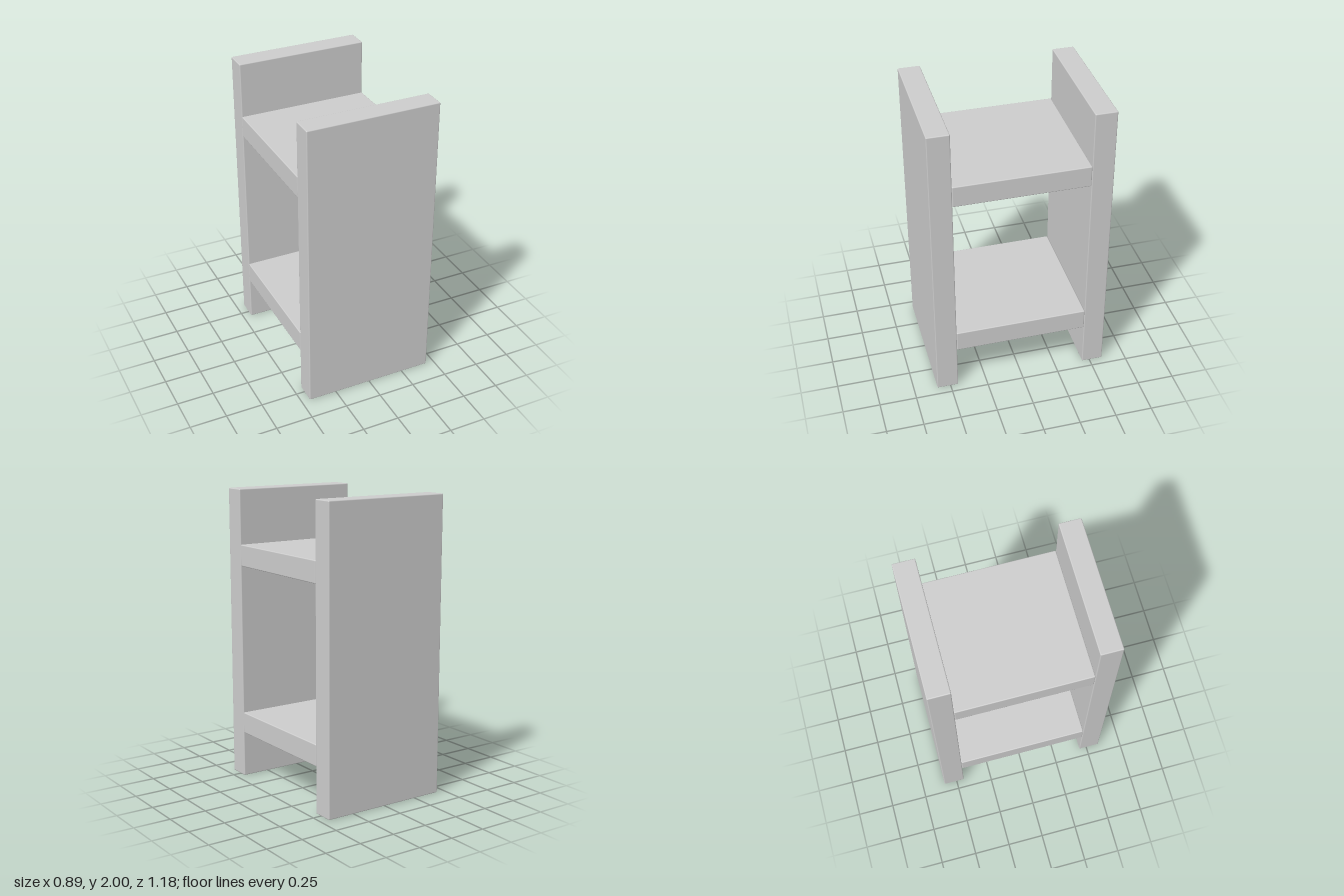
import * as THREE from 'three';
import { RoundedBoxGeometry } from 'three/addons/geometries/RoundedBoxGeometry.js';

const WIDTH = 0.886, HEIGHT = 2, DEPTH = 1.184, BOARD = 0.146, BEVEL = 0.007;

export function createModel() {
  const group = new THREE.Group();
  group.name = 'shelfUnit';
  const material = new THREE.MeshStandardMaterial({ color: 0xcccccc });

  // A board with slightly eased edges, centred on x = 0
  function addBoard(name, height, depth, y, z) {
    const board = new THREE.Mesh(new RoundedBoxGeometry(WIDTH, height, depth, 2, BEVEL), material);
    board.name = name;
    board.position.set(0, y, z);
    group.add(board);
  }

  // Upright panels at front and back
  const panelZ = (DEPTH - BOARD) / 2;
  addBoard('frontPanel', HEIGHT, BOARD, HEIGHT / 2, panelZ);
  addBoard('backPanel', HEIGHT, BOARD, HEIGHT / 2, -panelZ);

  // Shelves spanning between the panels
  const span = DEPTH - 2 * BOARD;
  addBoard('lowerShelf', BOARD, span, 0.387, 0);
  addBoard('upperShelf', BOARD, span, 1.556, 0);

  return group;
}
